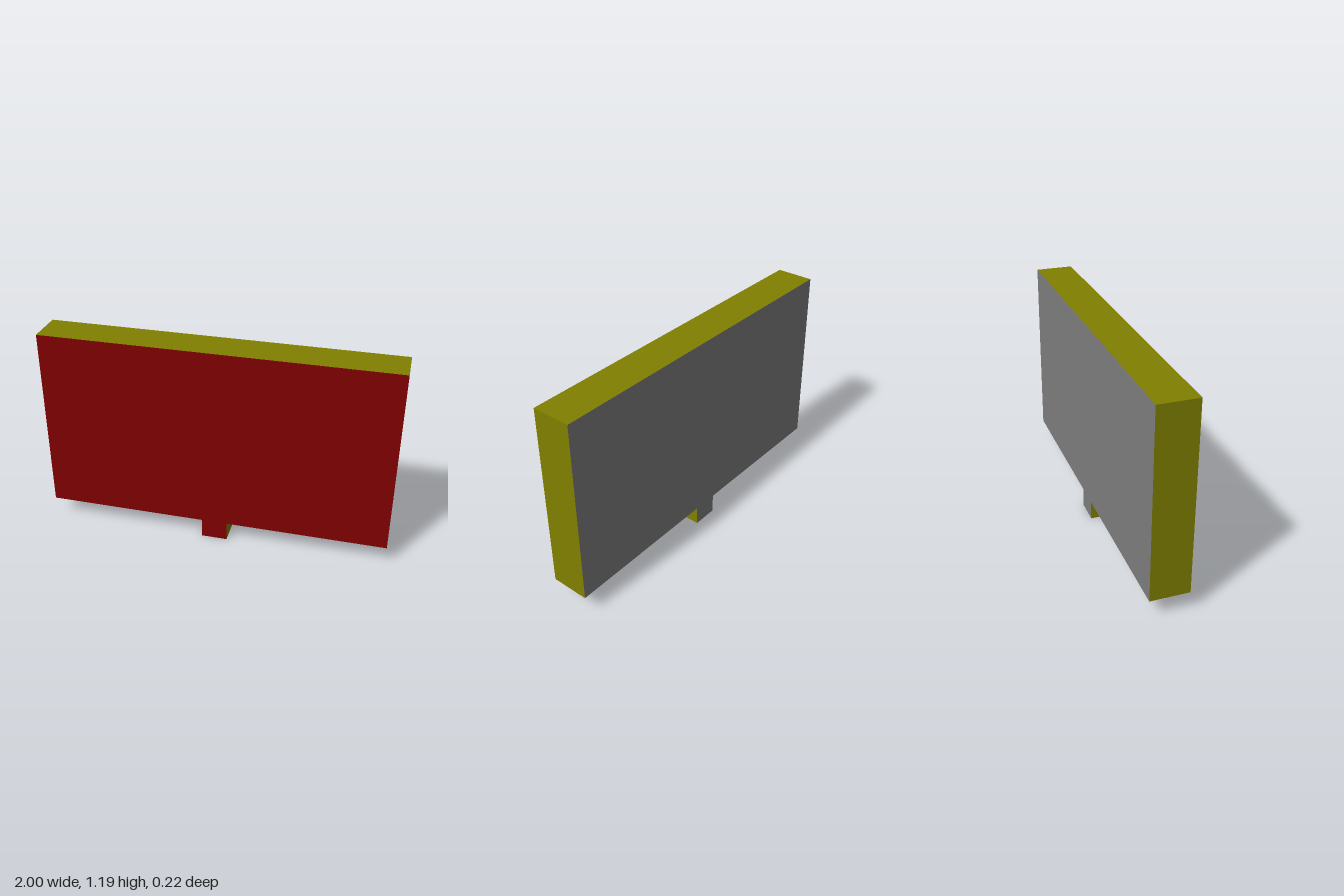
import * as THREE from 'three';

const TOP = 1.19, BOTTOM = 0.113, HALF_W = 1, STEM = 0.075, HALF_D = 0.11;

const toShape = pts => new THREE.Shape(pts.map(p => new THREE.Vector2(...p)));

export function createModel() {
  const group = new THREE.Group();
  const red = new THREE.MeshStandardMaterial({ color: 0x800000 });
  const grey = new THREE.MeshStandardMaterial({ color: 0x808080 });
  const olive = new THREE.MeshStandardMaterial({ color: 0x808000 });
  const pale = new THREE.MeshStandardMaterial({ color: 0xcccccc, side: THREE.DoubleSide });

  const add = (name, geometry, material, parent = group) => {
    const mesh = new THREE.Mesh(geometry, material);
    mesh.name = name;
    parent.add(mesh);
    return mesh;
  };

  // Outline of the board and its short stem, counter-clockwise
  const outline = [
    [-STEM, 0], [STEM, 0], [STEM, BOTTOM], [HALF_W, BOTTOM],
    [HALF_W, TOP], [-HALF_W, TOP], [-HALF_W, BOTTOM], [-STEM, BOTTOM],
  ];

  // Front and back faces
  add('frontFace', new THREE.ShapeGeometry(toShape(outline)), red).position.z = HALF_D;
  const back = add('backFace', new THREE.ShapeGeometry(toShape(outline)), grey);
  back.rotation.y = Math.PI;
  back.position.z = -HALF_D;

  // Rim: one flat strip per outline edge, facing outwards
  const rim = new THREE.Group();
  rim.name = 'rim';
  group.add(rim);
  outline.forEach(([x0, y0], i) => {
    const [x1, y1] = outline[(i + 1) % outline.length];
    const geometry = new THREE.PlaneGeometry(Math.hypot(x1 - x0, y1 - y0), 2 * HALF_D);
    geometry.rotateX(Math.PI / 2); // faces down, as the bottom edge does
    geometry.rotateZ(Math.atan2(y1 - y0, x1 - x0));
    geometry.translate((x0 + x1) / 2, (y0 + y1) / 2, 0);
    add('rimStrip', geometry, olive, rim);
  });

  // Pale marking under one half of the board, drawn in x and z
  const marking = new THREE.Group();
  marking.name = 'undersideMarking';
  marking.position.y = BOTTOM - 0.001;
  group.add(marking);
  const patches = {
    markingBand: [[-STEM, -0.08], [-STEM, -0.02], [-0.88, -0.02], [-0.84, -0.08]],
    markingEnd: [[-0.875, -0.11], [-0.88, -0.022], [-1, -0.028], [-1, -0.095], [-0.945, -0.065], [-0.985, -0.11]],
  };
  for (const [name, pts] of Object.entries(patches)) {
    add(name, new THREE.ShapeGeometry(toShape(pts)).rotateX(Math.PI / 2), pale, marking);
  }

  return group;
}
